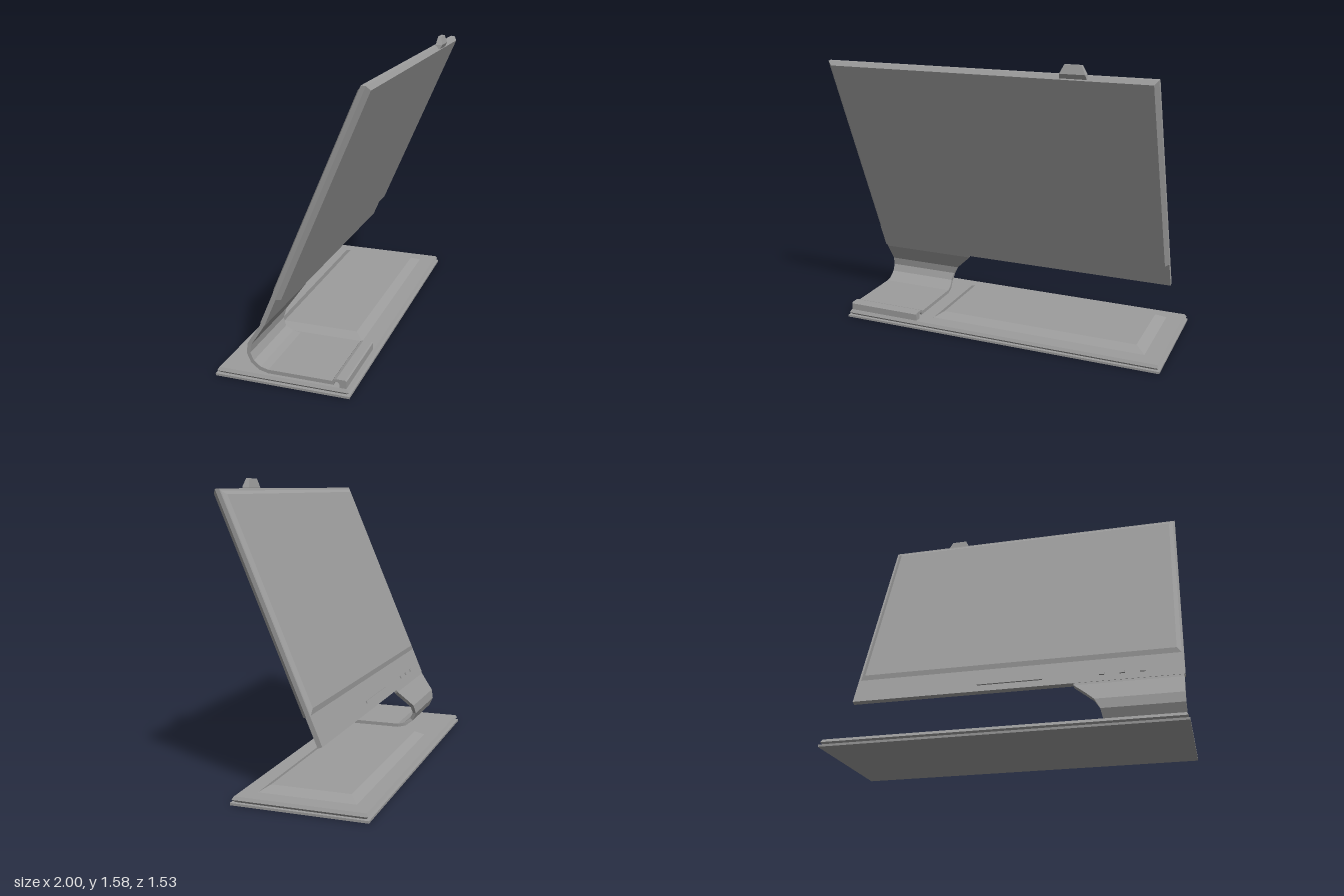
import * as THREE from 'three';

const grey = new THREE.MeshStandardMaterial({ color: 0x9c9c9c, flatShading: true });
const greyDouble = new THREE.MeshStandardMaterial({ color: 0x9c9c9c, flatShading: true, side: THREE.DoubleSide });

function add(parent, name, geometry, material = grey) {
  const mesh = new THREE.Mesh(geometry, material);
  mesh.name = name;
  parent.add(mesh);
  return mesh;
}

// Block between y0 and y1 whose rectangle [x0, x1, z0, z1] changes from bottom to top
function taper(bottom, y0, top, y1) {
  const g = new THREE.BoxGeometry(1, 1, 1);
  const p = g.attributes.position;
  for (let i = 0; i < p.count; i++) {
    const up = p.getY(i) > 0;
    const r = up ? top : bottom;
    p.setXYZ(i, p.getX(i) > 0 ? r[1] : r[0], up ? y1 : y0, p.getZ(i) > 0 ? r[3] : r[2]);
  }
  g.computeVertexNormals();
  return g;
}

// Same, but growing along z: rectangles are [x0, x1, y0, y1]
function taperZ(back, z0, front, z1) {
  const flip = ([a, b, c, d]) => [a, b, -d, -c];
  return taper(flip(back), z0, flip(front), z1).rotateX(Math.PI / 2);
}

// Bent sheet: path rows are [z, y, right-hand x]; the other edge stays straight
function ribbon(path, xLeft, thickness) {
  const pos = [], index = [];
  path.forEach(([z, y, xr], i) => {
    const a = path[Math.max(i - 1, 0)], b = path[Math.min(i + 1, path.length - 1)];
    const len = Math.hypot(b[0] - a[0], b[1] - a[1]);
    const nz = -(b[1] - a[1]) / len * thickness / 2;
    const ny = (b[0] - a[0]) / len * thickness / 2;
    pos.push(xLeft, y + ny, z + nz, xr, y + ny, z + nz, xr, y - ny, z - nz, xLeft, y - ny, z - nz);
  });
  for (let i = 0; i < path.length - 1; i++) {
    for (let k = 0; k < 4; k++) {
      const a = i * 4 + k, b = i * 4 + (k + 1) % 4;
      index.push(a, a + 4, b, b, a + 4, b + 4);
    }
  }
  const e = (path.length - 1) * 4;
  index.push(0, 1, 2, 0, 2, 3, e, e + 2, e + 1, e, e + 3, e + 2);
  const g = new THREE.BufferGeometry();
  g.setAttribute('position', new THREE.Float32BufferAttribute(pos, 3));
  g.setIndex(index);
  const flat = g.toNonIndexed();
  flat.computeVertexNormals();
  return flat;
}

function buildBase() {
  const base = new THREE.Group();
  base.name = 'base';
  const rect = inset => [-0.937 + inset, 0.937 - inset, -0.355 + inset, 0.361 - inset];
  add(base, 'bottomPlate', taper(rect(0), 0, rect(0), 0.012));
  add(base, 'undercut', taper(rect(0.02), 0.012, rect(0.006), 0.026));
  add(base, 'topPlate', taper(rect(0.006), 0.026, rect(0.015), 0.042));
  add(base, 'raisedTray', taper([-0.42, 0.832, -0.26, 0.26], 0.042, [-0.372, 0.775, -0.212, 0.212], 0.07));
  return base;
}

function buildStand() {
  const stand = new THREE.Group();
  stand.name = 'stand';
  // C-shaped sheet from the screen down to the flat foot
  add(stand, 'curvedNeck', ribbon([
    [-0.085, 0.34, -0.34], [-0.1, 0.305, -0.352], [-0.135, 0.25, -0.413],
    [-0.168, 0.2, -0.465], [-0.175, 0.15, -0.495], [-0.155, 0.105, -0.505],
    [-0.115, 0.074, -0.495], [-0.07, 0.063, -0.49], [0.275, 0.063, -0.49],
  ], -0.92, 0.02), greyDouble);

  // Curled front edge of the foot
  const hook = new THREE.Shape([
    [0.341, 0.036], [0.341, 0.08], [0.335, 0.086], [0.288, 0.086], [0.272, 0.08], [0.263, 0.068], [0.262, 0.055],
    [0.275, 0.055], [0.281, 0.069], [0.295, 0.072], [0.305, 0.06], [0.305, 0.036],
  ].map(([z, y]) => new THREE.Vector2(z, y)));
  const foot = add(stand, 'footHook', new THREE.ExtrudeGeometry(hook, { depth: 0.43, bevelEnabled: false }));
  foot.rotation.y = -Math.PI / 2;
  foot.position.x = -0.49;
  return stand;
}

function buildScreen() {
  // Local y runs up the panel, z = 0 lies just under the display surface
  const screen = new THREE.Group();
  screen.name = 'screen';
  const L = -0.925, R = 0.882;
  add(screen, 'displayPanel', taperZ([L, R, 0.1575, 1.317], -0.014, [L + 0.025, R - 0.02, 0.1575, 1.302], 0.009));
  add(screen, 'housing', taperZ([L, R, 0, 1.31], -0.036, [L, R, 0, 1.317], -0.014));
  add(screen, 'chin', taperZ([L, R, 0, 0.158], -0.014, [L, R, 0, 0.158], -0.011));
  add(screen, 'backCover', taperZ([L + 0.035, R - 0.035, 0.185, 1.275], -0.048, [L + 0.012, R - 0.012, 0.158, 1.298], -0.036));

  // Port cover and buttons on the rear of the chin
  const port = add(screen, 'rearPort', new THREE.BoxGeometry(0.357, 0.014, 0.012));
  port.position.set(-0.002, 0.05, -0.037);
  for (let i = 0; i < 3; i++) {
    const button = add(screen, 'rearButton', new THREE.BoxGeometry(0.028, 0.016, 0.012));
    button.position.set(-0.711 + i * 0.107, 0.05, -0.037);
  }

  // Leans forward over the base
  screen.rotation.x = THREE.MathUtils.degToRad(23);
  screen.position.set(0, 0.31, -0.071);
  return screen;
}

function buildCamera() {
  // Upright wedge sitting on the top edge of the screen
  const camera = new THREE.Group();
  camera.name = 'camera';
  const rim = [-0.066, 0.066, -0.018, 0.02];
  add(camera, 'cameraUnderside', taper([-0.07, 0.07, -0.018, 0.008], 1.512, rim, 1.536));
  add(camera, 'cameraTop', taper(rim, 1.536, [-0.044, 0.044, -0.01, 0.008], 1.58));
  camera.position.set(0.467, 0, 0.442);
  return camera;
}

export function createModel() {
  const model = new THREE.Group();
  model.name = 'monitor';
  const body = new THREE.Group();
  body.name = 'body';
  body.add(buildBase(), buildStand(), buildScreen(), buildCamera());
  body.rotation.y = THREE.MathUtils.degToRad(26.3);
  body.position.z = -0.035;
  model.add(body);
  return model;
}
